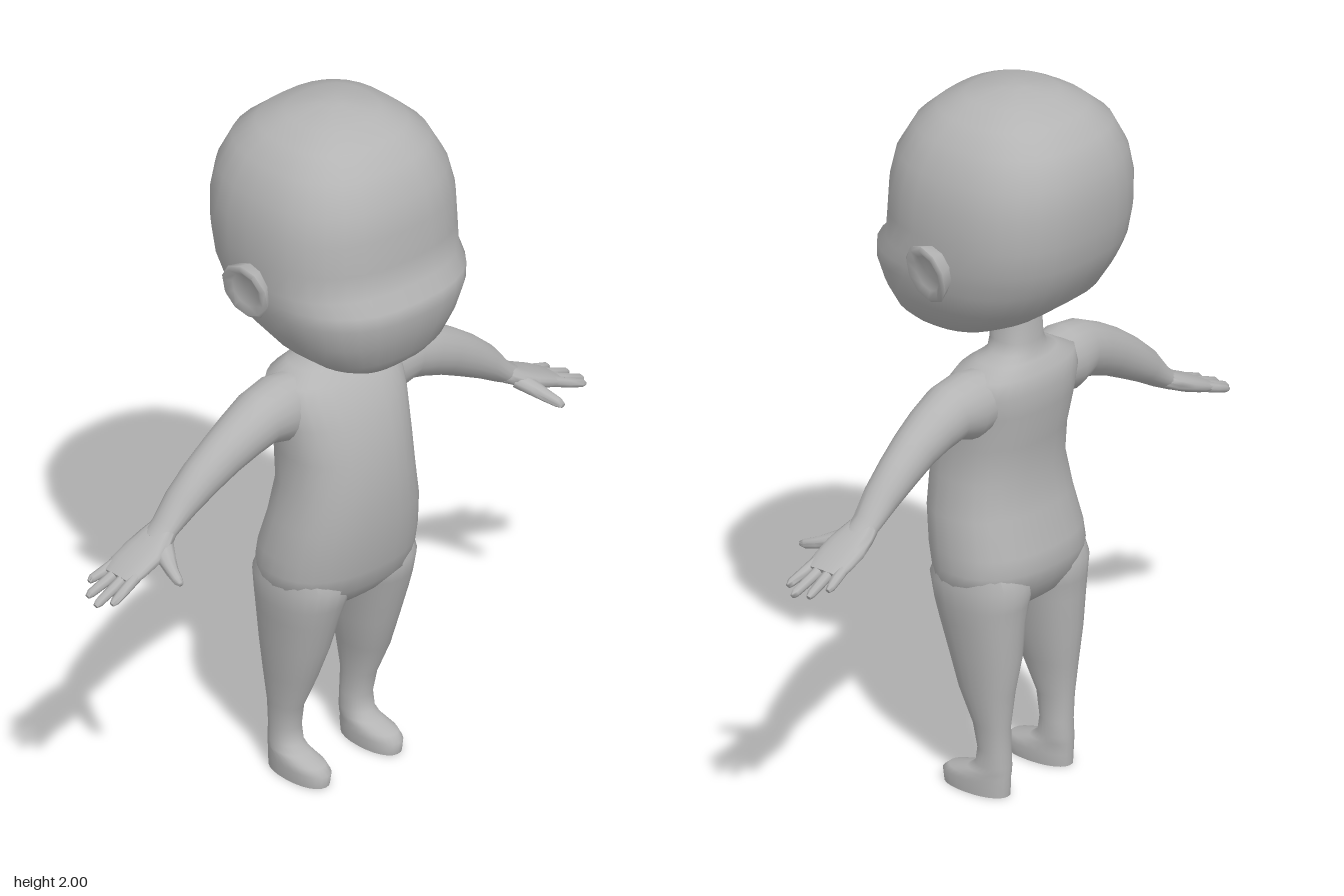
import * as THREE from 'three';
import { toCreasedNormals } from 'three/addons/utils/BufferGeometryUtils.js';

const clay = new THREE.MeshStandardMaterial({ color: 0xb4b4b4 });
clay.name = 'plain grey';

// Skin a list of closed rings and cap both ends; side -1 mirrors across x
function loft(rings, side = 1) {
  const n = rings[0].length;
  const pos = [];
  const index = [];
  const put = (p) => pos.push(p.x * side, p.y, p.z);
  rings.forEach((ring) => ring.forEach(put));
  const tri = (a, b, c) => (side > 0 ? index.push(a, b, c) : index.push(a, c, b));
  for (let i = 0; i < rings.length - 1; i++) {
    for (let j = 0; j < n; j++) {
      const k = (j + 1) % n;
      const a = i * n + j, b = i * n + k;
      tri(a, a + n, b);
      tri(b, a + n, b + n);
    }
  }
  [0, rings.length - 1].forEach((r, end) => {
    const c = new THREE.Vector3();
    rings[r].forEach((p) => c.addScaledVector(p, 1 / n));
    const ci = pos.length / 3;
    put(c);
    for (let j = 0; j < n; j++) {
      const a = r * n + j, b = r * n + ((j + 1) % n);
      if (end) tri(ci, b, a);
      else tri(ci, a, b);
    }
  });
  const geo = new THREE.BufferGeometry();
  geo.setAttribute('position', new THREE.Float32BufferAttribute(pos, 3));
  geo.setIndex(index);
  return toCreasedNormals(geo, 1.25);
}

// Rounded outline: unit superellipse points
function outline(n, power) {
  return Array.from({ length: n }, (_, j) => {
    const t = (j / n) * Math.PI * 2;
    const f = (v) => Math.sign(v) * Math.abs(v) ** (2 / power);
    return [f(Math.cos(t)), f(Math.sin(t))];
  });
}

// Horizontal sections, bottom to top: [y, xMin, xMax, zFront, zBack]
function stack(sections, power, n = 28, side = 1) {
  return loft(sections.map(([y, x0, x1, zf, zb]) => outline(n, power).map(([c, s]) =>
    new THREE.Vector3((x0 + x1) / 2 + c * (x1 - x0) / 2, y, (zf + zb) / 2 + s * (zf - zb) / 2))), side);
}

// Sections across a path: [x, y, z, halfHeight, halfDepth]
function limb(sections, side, n = 16, power = 2, axis = null) {
  const at = sections.map((s) => new THREE.Vector3(s[0], s[1], s[2]));
  return loft(sections.map((s, i) => {
    const d = axis ? axis.clone() : at[Math.min(i + 1, at.length - 1)].clone().sub(at[Math.max(i - 1, 0)]);
    d.normalize();
    const u = new THREE.Vector3(0, 1, 0);
    u.addScaledVector(d, -u.dot(d)).normalize();
    const v = u.clone().cross(d);
    return outline(n, power).map(([c, e]) =>
      at[i].clone().addScaledVector(u, c * s[3]).addScaledVector(v, e * s[4]));
  }), side);
}

const symmetric = (rows) => rows.map(([y, w, zf, zb]) => [y, -w, w, zf, zb]);

export function createModel() {
  const model = new THREE.Group();
  model.name = 'bigHeadedFigure';
  const add = (name, geo, parent = model) => {
    const mesh = new THREE.Mesh(geo, clay);
    mesh.name = name;
    parent.add(mesh);
  };

  // Head with protruding lower face
  add('head', stack(symmetric([
    [1.29, 0.07, 0.19, 0.09],
    [1.3, 0.12, 0.22, 0.03],
    [1.325, 0.175, 0.25, -0.06],
    [1.36, 0.22, 0.277, -0.13],
    [1.43, 0.27, 0.305, -0.225],
    [1.5, 0.295, 0.325, -0.27],
    [1.54, 0.302, 0.322, -0.29],
    [1.575, 0.307, 0.287, -0.302],
    [1.65, 0.31, 0.28, -0.318],
    [1.74, 0.308, 0.274, -0.321],
    [1.82, 0.288, 0.259, -0.312],
    [1.9, 0.247, 0.215, -0.275],
    [1.95, 0.19, 0.16, -0.215],
    [1.983, 0.125, 0.09, -0.14],
    [2.0, 0.03, 0, -0.06],
  ]), 2.5, 32));

  // Torso and neck
  add('torso', stack(symmetric([
    [0.51, 0.05, 0.05, -0.08],
    [0.55, 0.14, 0.1, -0.135],
    [0.6, 0.226, 0.14, -0.165],
    [0.65, 0.229, 0.152, -0.178],
    [0.7, 0.228, 0.162, -0.17],
    [0.8, 0.215, 0.175, -0.14],
    [0.9, 0.196, 0.175, -0.125],
    [1.0, 0.192, 0.165, -0.135],
    [1.1, 0.202, 0.138, -0.153],
    [1.16, 0.208, 0.108, -0.155],
    [1.205, 0.195, 0.075, -0.145],
    [1.232, 0.125, 0.04, -0.122],
    [1.25, 0.085, 0.025, -0.112],
    [1.28, 0.07, 0.025, -0.107],
    [1.37, 0.07, 0.035, -0.1],
  ]), 2.35));

  const ear = new THREE.Vector3(0.318, 1.563, -0.008);
  const earAxis = new THREE.Vector3(1, -0.22, 0.15).normalize();
  const earSections = [[-0.06, 0.045, 0.035], [-0.02, 0.072, 0.06], [0.014, 0.088, 0.076],
    [0.022, 0.078, 0.066], [0.01, 0.055, 0.045]].map(([s, h, w]) =>
    [...ear.clone().addScaledVector(earAxis, s).toArray(), h, w]);

  // Fingers: [baseZ, tipX, tipZ], little finger to index
  const fingers = [[-0.066, 0.822, -0.079], [-0.037, 0.86, -0.044], [-0.006, 0.872, 0], [0.023, 0.847, 0.036]];

  [[1, 'left'], [-1, 'right']].forEach(([side, label]) => {
    add(label + 'Ear', limb(earSections, side, 10, 2, earAxis));

    // Leg flowing into a flat-soled foot
    add(label + 'Leg', stack([
      [0, 0.08, 0.178, 0.09, -0.118],
      [0.035, 0.077, 0.18, 0.095, -0.12],
      [0.052, 0.08, 0.178, 0.075, -0.12],
      [0.066, 0.083, 0.173, 0.01, -0.12],
      [0.085, 0.085, 0.17, -0.018, -0.12],
      [0.13, 0.087, 0.168, -0.025, -0.118],
      [0.2, 0.09, 0.172, -0.01, -0.12],
      [0.3, 0.07, 0.19, 0.035, -0.13],
      [0.4, 0.046, 0.202, 0.07, -0.145],
      [0.5, 0.03, 0.217, 0.1, -0.15],
      [0.55, 0.015, 0.224, 0.115, -0.155],
      [0.61, 0.0, 0.228, 0.13, -0.163],
      [0.68, 0.03, 0.215, 0.1, -0.13],
    ], 2.2, 24, side));

    // Arm from shoulder to wrist
    const arm = new THREE.Group();
    arm.name = label + 'Arm';
    model.add(arm);
    add(label + 'ArmSleeveShape', limb([
      [0.1, 1.14, -0.035, 0.08, 0.075],
      [0.2, 1.137, -0.03, 0.094, 0.085],
      [0.265, 1.138, -0.025, 0.08, 0.078],
      [0.33, 1.113, -0.023, 0.073, 0.07],
      [0.4, 1.08, -0.023, 0.066, 0.062],
      [0.47, 1.038, -0.025, 0.059, 0.056],
      [0.54, 0.99, -0.026, 0.048, 0.05],
      [0.6, 0.938, -0.026, 0.032, 0.043],
      [0.64, 0.912, -0.026, 0.026, 0.042],
    ], side, 20), arm);
    add(label + 'Palm', limb([
      [0.6, 0.935, -0.026, 0.027, 0.04],
      [0.635, 0.915, -0.024, 0.025, 0.054],
      [0.68, 0.893, -0.022, 0.024, 0.064],
      [0.73, 0.872, -0.022, 0.021, 0.064],
      [0.775, 0.853, -0.022, 0.014, 0.058],
    ], side, 18, 2.5), arm);
    fingers.forEach(([z, tipX, tipZ], i) => {
      const tipY = 0.815 + (0.87 - tipX) * 0.42;
      const mid = (0.74 + tipX) / 2;
      add(label + 'Finger' + (i + 1), limb([
        [0.74, 0.867, z, 0.015, 0.015],
        [mid, (0.867 + tipY) / 2, (z + tipZ) / 2, 0.014, 0.015],
        [tipX - 0.012, tipY + 0.006, tipZ, 0.012, 0.012],
        [tipX, tipY, tipZ, 0.007, 0.007],
      ], side, 8), arm);
    });
    add(label + 'Thumb', limb([
      [0.635, 0.908, 0.005, 0.02, 0.03],
      [0.657, 0.89, 0.045, 0.019, 0.025],
      [0.672, 0.875, 0.082, 0.016, 0.018],
      [0.682, 0.866, 0.115, 0.013, 0.014],
      [0.684, 0.863, 0.13, 0.007, 0.008],
    ], side, 10), arm);
  });

  return model;
}
